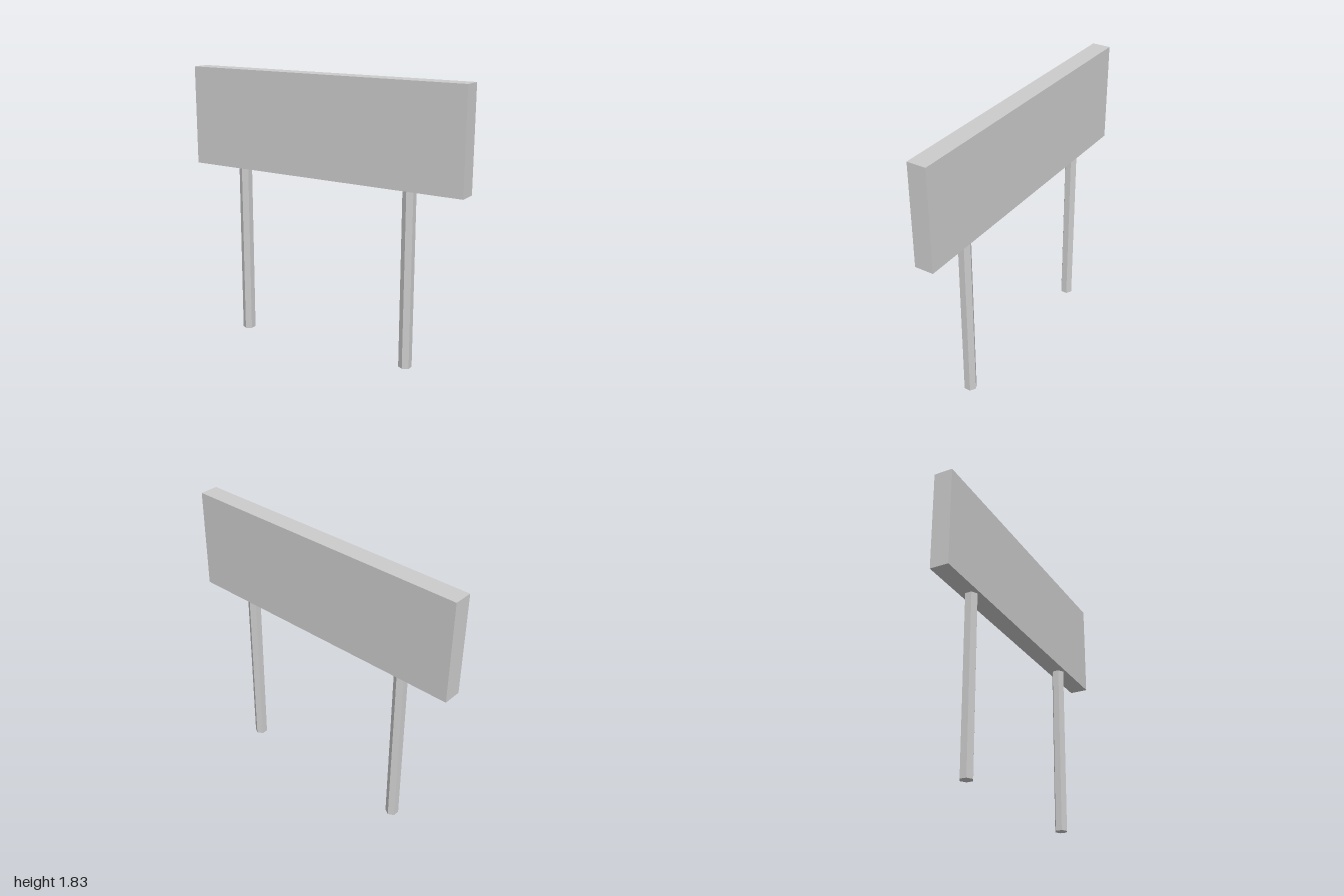
import * as THREE from 'three';

const BOARD_BOTTOM = 1.165;
const BOARD_TOP = 1.83;

export function createModel() {
  const group = new THREE.Group();
  const material = new THREE.MeshStandardMaterial({ color: 0xcccccc, flatShading: true });

  // Flat rectangular sign board
  const height = BOARD_TOP - BOARD_BOTTOM;
  const board = new THREE.Mesh(new THREE.BoxGeometry(2, height, 0.124), material);
  board.name = 'signBoard';
  board.position.y = BOARD_BOTTOM + height / 2;
  group.add(board);

  // Two hexagonal posts with an edge facing front, set slightly into the board
  const postHeight = BOARD_BOTTOM + 0.01;
  const postGeometry = new THREE.CylinderGeometry(0.043, 0.043, postHeight, 6);
  for (const [name, x] of [['rightPost', -0.631], ['leftPost', 0.621]]) {
    const post = new THREE.Mesh(postGeometry, material);
    post.name = name;
    post.position.set(x, postHeight / 2, 0);
    group.add(post);
  }

  return group;
}
